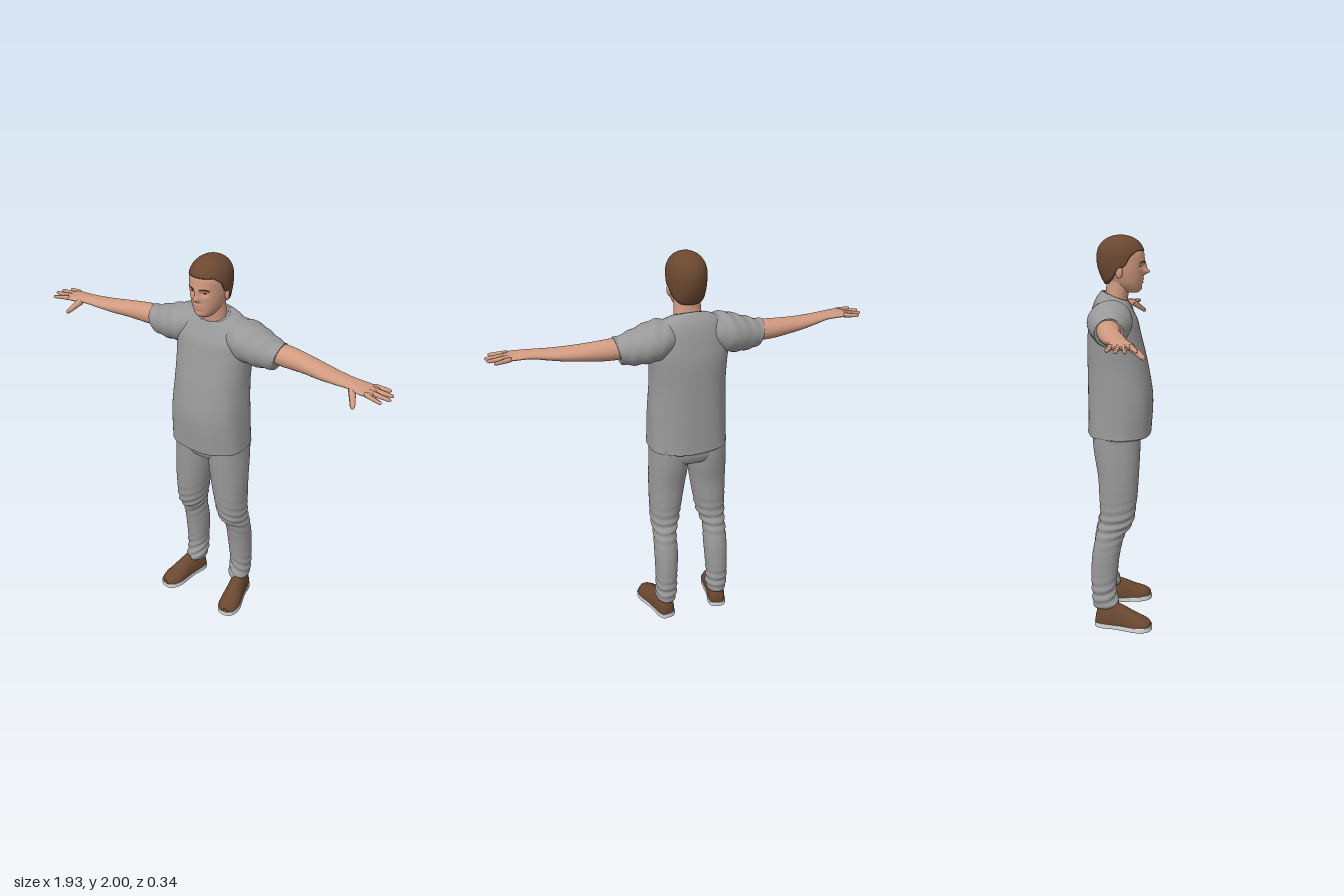
import * as THREE from 'three';

const mat = (name, color) => Object.assign(new THREE.MeshStandardMaterial({ color }), { name });
const bell = (d, s) => Math.exp(-((d / s) ** 2));

// Builds a smooth closed surface from rows of rings; point(row, angle) gives each corner
function surface(rows, sides, point) {
  const pos = [], index = [];
  for (let i = 0; i < rows; i++)
    for (let j = 0; j < sides; j++) pos.push(...point(i, (j / sides) * Math.PI * 2));
  for (let i = 0; i < rows - 1; i++)
    for (let j = 0; j < sides; j++) {
      const a = i * sides + j, b = i * sides + ((j + 1) % sides);
      index.push(a, b, a + sides, b, b + sides, a + sides);
    }
  const g = new THREE.BufferGeometry();
  g.setAttribute('position', new THREE.Float32BufferAttribute(pos, 3));
  g.setIndex(index);
  g.computeVertexNormals();
  return g;
}

// Rounded cross-sections along an axis: [t, cosMin, cosMax, sinMin, sinMax]
// axis y: z and x ranges; axis x: y and z ranges; axis z: x and y ranges
function loft(axis, sections, { power = 2, sides = 48, steps = 6, rule } = {}) {
  const n = sections.length, rings = [];
  for (let i = 0; i < n - 1; i++)
    for (let k = 0; k < steps + (i === n - 2 ? 1 : 0); k++) {
      const f = k / steps;
      const [p, q, r, s] = [i - 1, i, i + 1, i + 2].map(m => sections[Math.min(Math.max(m, 0), n - 1)]);
      rings.push(q.map((_, c) => 0.5 * (2 * q[c] + (r[c] - p[c]) * f +
        (2 * p[c] - 5 * q[c] + 4 * r[c] - s[c]) * f * f + (3 * q[c] - p[c] - 3 * r[c] + s[c]) * f ** 3)));
    }
  // flat end caps with crisp rims
  const flat = ([t, a, b, c, d]) => [t, (a + b) / 2, (a + b) / 2, (c + d) / 2, (c + d) / 2];
  const first = rings[0], last = rings[rings.length - 1];
  rings.unshift(flat(first), first);
  rings.push(last, flat(last));
  const shape = w => Math.sign(w) * Math.abs(w) ** (2 / power);
  const v = new THREE.Vector3();
  return surface(rings.length, sides, (i, ang) => {
    const [t, a, b, c, d] = rings[i];
    const u = (a + b) / 2 + (b - a) / 2 * shape(Math.cos(ang));
    const w = (c + d) / 2 + (d - c) / 2 * shape(Math.sin(ang));
    if (axis === 'y') v.set(w, t, u); else if (axis === 'x') v.set(t, u, w); else v.set(u, w, t);
    if (rule) rule(v, ang);
    return v.toArray();
  });
}

function mirrored(geo) {
  const g = geo.clone().scale(-1, 1, 1), ix = g.index;
  if (!ix) { // unindexed triangles: swap two corners of each
    for (const at of Object.values(g.attributes))
      for (let i = 0; i < at.count; i += 3)
        for (let c = 0; c < at.itemSize; c++) {
          const tmp = at.getComponent(i + 1, c);
          at.setComponent(i + 1, c, at.getComponent(i + 2, c));
          at.setComponent(i + 2, c, tmp);
        }
  } else for (let i = 0; i < ix.count; i += 3) {
    const tmp = ix.getX(i + 1);
    ix.setX(i + 1, ix.getX(i + 2));
    ix.setX(i + 2, tmp);
  }
  g.computeVertexNormals();
  return g;
}

// Tapered rounded finger between two points
function finger(from, to, r) {
  const a = new THREE.Vector3(...from), b = new THREE.Vector3(...to), dir = b.clone().sub(a), len = dir.length();
  const g = new THREE.CapsuleGeometry(r, len - r, 5, 12, 4), p = g.attributes.position;
  for (let i = 0; i < p.count; i++) {
    const k = 0.82 - 0.4 * p.getY(i) / len;
    p.setX(i, p.getX(i) * k);
    p.setZ(i, p.getZ(i) * k);
  }
  g.applyQuaternion(new THREE.Quaternion().setFromUnitVectors(new THREE.Vector3(0, 1, 0), dir.normalize()));
  g.translate(...a.add(b).multiplyScalar(0.5).toArray());
  g.computeVertexNormals();
  return g;
}

export function createModel() {
  const model = new THREE.Group();
  model.name = 'standingMan';
  const skin = mat('skin', 0xd09a80), brown = mat('brown', 0x6b4831), cloth = mat('greyCloth', 0x999999);
  const sole = mat('soleWhite', 0xd8d8d8), dark = mat('eyeDark', 0x3a2a22);
  const add = (name, geo, m) => {
    const mesh = new THREE.Mesh(geo, m);
    mesh.name = name;
    model.add(mesh);
    return mesh;
  };
  const pair = (name, geo, m) => { add(name + 'Left', geo, m); add(name + 'Right', mirrored(geo), m); };

  // Head with sculpted nose, sockets, brow, lips and chin: [x, y, height, widthX, widthY]
  const bumps = [[0, 1.822, 0.026, 0.014, 0.013], [0, 1.845, 0.014, 0.011, 0.026], [0.034, 1.851, -0.011, 0.018, 0.012],
    [0.03, 1.876, 0.004, 0.025, 0.008], [0, 1.788, 0.006, 0.02, 0.007], [0, 1.772, 0.006, 0.018, 0.006],
    [0, 1.742, 0.004, 0.02, 0.012]];
  const head = add('head', loft('y', [[1.722, 0.01, 0.085, -0.03, 0.03], [1.735, -0.02, 0.1, -0.045, 0.045],
    [1.77, -0.06, 0.107, -0.067, 0.067], [1.82, -0.085, 0.112, -0.081, 0.081], [1.87, -0.1, 0.117, -0.086, 0.086],
    [1.92, -0.1, 0.114, -0.086, 0.086], [1.96, -0.08, 0.085, -0.065, 0.065], [1.98, -0.04, 0.04, -0.03, 0.03]],
  { power: 2.2, sides: 96, steps: 10, rule: v => {
    if (v.z < 0.03) return;
    for (const [x, y, h, sx, sy] of bumps) v.z += h * bell(Math.abs(v.x) - x, sx) * bell(v.y - y, sy);
  } }), skin);
  add('neck', loft('y', [[1.6, -0.1, 0.03, -0.085, 0.085], [1.68, -0.085, 0.035, -0.07, 0.07],
    [1.73, -0.072, 0.042, -0.066, 0.066], [1.78, -0.07, 0.05, -0.064, 0.064]]), skin);
  const ear = new THREE.SphereGeometry(1, 16, 12).scale(0.01, 0.03, 0.018).rotateY(0.3).translate(0.087, 1.825, -0.005);
  pair('ear', ear, skin);

  // Brows and eyes laid onto the face
  const ray = new THREE.Raycaster();
  const onFace = (x, y) => {
    ray.set(new THREE.Vector3(x, y, 1), new THREE.Vector3(0, 0, -1));
    const hit = ray.intersectObject(head)[0];
    return hit ? hit.point : new THREE.Vector3(x, y, 0.1);
  };
  const browPath = new THREE.CatmullRomCurve3([[0.016, 1.868], [0.03, 1.873], [0.044, 1.872], [0.055, 1.866]]
    .map(p => onFace(...p)));
  pair('brow', new THREE.TubeGeometry(browPath, 12, 0.003, 6), brown);
  const e = onFace(0.033, 1.851);
  pair('eye', new THREE.SphereGeometry(1, 14, 8).scale(0.01, 0.0035, 0.003).translate(e.x, e.y, e.z), dark);

  // Hair cap: high over the forehead, down in front of the ears, low at the nape
  const line = [[0, 1.925], [0.8, 1.925], [1.15, 1.9], [1.4, 1.85], [1.65, 1.842], [2.0, 1.795], [2.5, 1.768], [3.15, 1.762]];
  const hairline = ang => {
    const a = Math.min(ang, Math.PI * 2 - ang), i = line.findIndex(l => l[0] >= a);
    if (i <= 0) return line[0][1];
    return THREE.MathUtils.mapLinear(a, line[i - 1][0], line[i][0], line[i - 1][1], line[i][1]);
  };
  const hairRows = 26;
  add('hair', surface(hairRows, 96, (i, ang) => {
    const u = Math.max(0, i - 1) / (hairRows - 2), low = hairline(ang);
    const y = low + (2 - low) * Math.sin(u * Math.PI / 2);
    const up = Math.max(0, (y - 1.89) / 0.11), down = Math.max(0, (1.89 - y) / 0.13);
    const k = Math.sqrt(Math.max(0, 1 - up ** 2.4)) * (i === 0 ? 0.8 : 1);
    const back = 0.118 - 0.043 * down ** 2, front = 0.12, w = 0.096 - 0.016 * down ** 2;
    const c = Math.cos(ang), s = Math.sin(ang);
    return [w * k * Math.sign(s) * Math.abs(s) ** 0.92, y, (c > 0 ? front : back) * k * c];
  }), brown);

  // Shirt body, with the neckline dipping to the front and soft folds near the hem
  add('shirtBody', loft('y', [[1.008, -0.158, 0.15, -0.197, 0.197], [1.016, -0.166, 0.158, -0.206, 0.206],
    [1.04, -0.165, 0.16, -0.204, 0.204], [1.2, -0.165, 0.165, -0.198, 0.198], [1.35, -0.165, 0.143, -0.191, 0.191],
    [1.45, -0.166, 0.12, -0.193, 0.193], [1.53, -0.162, 0.1, -0.198, 0.198], [1.6, -0.148, 0.085, -0.195, 0.195],
    [1.65, -0.128, 0.068, -0.175, 0.175], [1.685, -0.105, 0.05, -0.135, 0.135], [1.705, -0.09, 0.038, -0.085, 0.085]],
  { power: 2.3, sides: 72, rule: (v, ang) => {
    const fold = 1 + 0.012 * Math.sin(ang * 7 + v.y * 6) * THREE.MathUtils.smoothstep(1.5 - v.y, 0.05, 0.4);
    v.x *= fold;
    v.z *= fold;
    v.y -= (v.z + 0.025) * 0.4 * THREE.MathUtils.smoothstep(v.y, 1.55, 1.7);
  } }), cloth);
  add('collar', new THREE.TorusGeometry(1, 0.09, 10, 48).rotateX(Math.PI / 2).scale(0.078, 0.09, 0.064)
    .rotateX(0.38).translate(0, 1.699, -0.026), cloth);
  pair('sleeve', loft('x', [[0.08, 1.55, 1.695, -0.13, 0.04], [0.14, 1.52, 1.697, -0.15, 0.06],
    [0.2, 1.5, 1.682, -0.155, 0.062], [0.28, 1.492, 1.656, -0.134, 0.045], [0.34, 1.497, 1.638, -0.116, 0.03],
    [0.36, 1.502, 1.636, -0.112, 0.025], [0.363, 1.508, 1.63, -0.106, 0.02]],
  { rule: v => { v.x += (v.y - 1.57) * 0.25; v.y += 0.003 * Math.sin(v.x * 90 + v.z * 30); } }), cloth);

  // Arms and hands
  pair('arm', loft('x', [[0.3, 1.535, 1.632, -0.102, 0.005], [0.38, 1.53, 1.632, -0.1, 0.012],
    [0.45, 1.532, 1.627, -0.093, 0.013], [0.52, 1.538, 1.62, -0.083, 0.021], [0.6, 1.545, 1.612, -0.068, 0.037],
    [0.68, 1.556, 1.607, -0.048, 0.05], [0.75, 1.567, 1.606, -0.03, 0.06], [0.79, 1.57, 1.604, -0.028, 0.07],
    [0.83, 1.572, 1.6, -0.03, 0.083], [0.87, 1.574, 1.597, -0.027, 0.08], [0.885, 1.58, 1.591, -0.018, 0.068]]), skin);
  [[-0.016, 0.927, -0.031], [0.012, 0.955, 0.007], [0.039, 0.96, 0.045], [0.066, 0.937, 0.09]].forEach(([z, x, tip], i) =>
    pair('finger' + (i + 1), finger([0.855, 1.587, z], [x, 1.581, tip], 0.013), skin));
  pair('thumb', finger([0.785, 1.583, 0.055], [0.825, 1.535, 0.118], 0.018), skin);

  // Trousers: seat and two legs with creases at knee and ankle
  add('trouserSeat', loft('y', [[0.912, -0.05, 0.04, -0.05, 0.05], [0.935, -0.115, 0.085, -0.13, 0.13],
    [0.965, -0.135, 0.1, -0.185, 0.185], [1.0, -0.142, 0.107, -0.2, 0.2], [1.05, -0.142, 0.11, -0.198, 0.198]],
  { power: 2.3 }), cloth);
  pair('trouserLeg', loft('y', [[0.105, -0.132, -0.008, 0.1, 0.19], [0.13, -0.14, -0.004, 0.092, 0.2],
    [0.17, -0.141, -0.015, 0.09, 0.198], [0.22, -0.145, -0.018, 0.09, 0.2], [0.3, -0.147, -0.01, 0.085, 0.2],
    [0.4, -0.14, 0.002, 0.079, 0.201], [0.5, -0.12, 0.025, 0.08, 0.198], [0.55, -0.108, 0.058, 0.068, 0.198],
    [0.6, -0.1, 0.075, 0.053, 0.202], [0.7, -0.105, 0.089, 0.035, 0.204], [0.8, -0.11, 0.096, 0.019, 0.205],
    [0.9, -0.126, 0.101, 0.004, 0.203], [0.97, -0.135, 0.104, 0, 0.2], [1.03, -0.138, 0.106, 0, 0.198]],
  { power: 2.15, steps: 8, rule: (v, ang) => {
    const crease = 0.004 * Math.sin(v.y * 130 + Math.sin(ang) * 2.5 + ang * 2) * (bell(v.y - 0.17, 0.08) + bell(v.y - 0.56, 0.1));
    v.x += Math.sin(ang) * crease;
    v.z += Math.cos(ang) * crease;
  } }), cloth);

  // Shoes turned outwards on pale soles
  const place = g => g.rotateY(0.22).translate(0.173, 0, 0.018);
  pair('shoe', place(loft('z', [[-0.143, -0.022, 0.022, -0.01, 0.065], [-0.13, -0.038, 0.038, -0.04, 0.11],
    [-0.1, -0.044, 0.044, -0.06, 0.13], [-0.05, -0.047, 0.047, -0.06, 0.137], [0, -0.049, 0.049, -0.05, 0.12],
    [0.05, -0.055, 0.055, -0.04, 0.094], [0.09, -0.056, 0.056, -0.03, 0.076], [0.125, -0.045, 0.045, -0.025, 0.062],
    [0.148, -0.02, 0.02, -0.01, 0.045]], { rule: v => { v.y = Math.max(v.y, 0.02); } })), brown);
  const half = [[0.03, -0.142], [0.046, -0.11], [0.045, -0.04], [0.054, 0.03], [0.059, 0.08], [0.045, 0.13], [0.018, 0.15]];
  const outline = [...half, ...half.map(([x, z]) => [-x, z]).reverse()].map(p => new THREE.Vector3(...p, 0));
  const soleShape = new THREE.Shape(new THREE.CatmullRomCurve3(outline, true).getPoints(56).slice(0, -1)
    .map(p => new THREE.Vector2(p.x, p.y)));
  pair('sole', place(new THREE.ExtrudeGeometry(soleShape, { depth: 0.018, bevelThickness: 0.003, bevelSize: 0.002, bevelSegments: 1 })
    .rotateX(Math.PI / 2).translate(0, 0.021, 0)), sole);

  return model;
}
